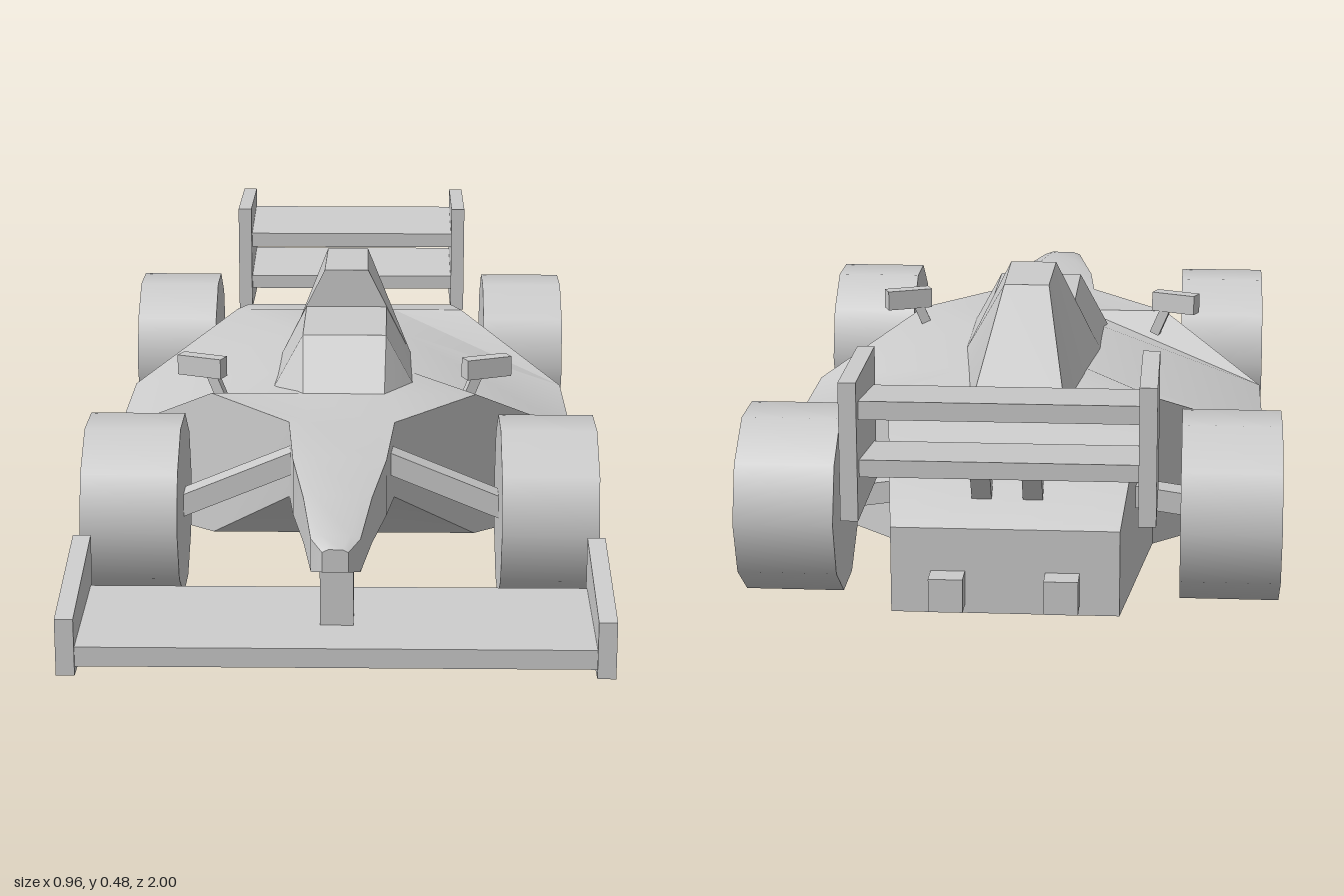
import * as THREE from 'three';
import { toCreasedNormals } from 'three/addons/utils/BufferGeometryUtils.js';

const material = new THREE.MeshStandardMaterial({ color: 0xcccccc });

function add(parent, name, geometry, x = 0, y = 0, z = 0) {
  const mesh = new THREE.Mesh(geometry, material);
  mesh.name = name;
  mesh.position.set(x, y, z);
  parent.add(mesh);
  return mesh;
}

// Skin over mirrored cross-sections, listed front to back.
// Each section is [z, [x, y], ...] from the top down on the +x side.
function loft(sections, crease) {
  const pos = [], index = [];
  const n = (sections[0].length - 1) * 2;
  for (const [z, ...half] of sections) {
    for (const [x, y] of half) pos.push(x, y, z);
    for (const [x, y] of [...half].reverse()) pos.push(-x, y, z);
  }
  for (let i = 0; i < sections.length - 1; i++) {
    for (let j = 0; j < n; j++) {
      const a = i * n + j, b = i * n + (j + 1) % n;
      index.push(a, b, a + n, b, b + n, a + n);
    }
  }
  const last = (sections.length - 1) * n;
  for (let j = 1; j < n - 1; j++) {
    index.push(0, j + 1, j, last, last + j, last + j + 1);
  }
  const g = new THREE.BufferGeometry();
  g.setAttribute('position', new THREE.Float32BufferAttribute(pos, 3));
  g.setIndex(index);
  return toCreasedNormals(g, crease);
}

// Side profile of [z, y] points, extruded across x.
function plate(profile, width) {
  const shape = new THREE.Shape(profile.map(([z, y]) => new THREE.Vector2(z, y)));
  return new THREE.ExtrudeGeometry(shape, { depth: width, bevelEnabled: false })
    .translate(0, 0, -width / 2)
    .rotateY(-Math.PI / 2);
}

// Rectangular bar between two points.
function beam(parent, name, from, to, w, h) {
  const a = new THREE.Vector3(...from), b = new THREE.Vector3(...to);
  const bar = add(parent, name, new THREE.BoxGeometry(w, h, a.distanceTo(b)));
  bar.position.copy(a).add(b).multiplyScalar(0.5);
  bar.lookAt(b);
}

export function createModel() {
  const car = new THREE.Group();
  car.name = 'openWheelRaceCar';

  // Nose, side pods and tail in one skin
  add(car, 'body', loft([
    [1.0, [0.012, 0.255], [0.022, 0.25], [0.022, 0.215]],
    [0.965, [0.025, 0.268], [0.042, 0.262], [0.042, 0.203]],
    [0.8, [0.04, 0.283], [0.06, 0.28], [0.06, 0.196]],
    [0.62, [0.05, 0.296], [0.085, 0.292], [0.085, 0.186]],
    [0.42, [0.06, 0.303], [0.1, 0.303], [0.1, 0.155]],
    [0.225, [0.085, 0.303], [0.26, 0.303], [0.26, 0.015]],
    [0.07, [0.14, 0.303], [0.46, 0.185], [0.46, 0.015]],
    [-0.26, [0.115, 0.303], [0.46, 0.185], [0.46, 0.015]],
    [-0.46, [0.1, 0.303], [0.25, 0.303], [0.25, 0.015]],
    [-0.6, [0.1, 0.28], [0.232, 0.28], [0.232, 0.015]],
    [-0.75, [0.1, 0.235], [0.213, 0.235], [0.213, 0.015]],
    [-0.85, [0.1, 0.17], [0.2, 0.17], [0.2, 0.015]],
  ], 0.62));

  // Cockpit canopy, air intake and engine cover
  add(car, 'cockpitAndEngineCover', loft([
    [0.225, [0.08, 0.303], [0.085, 0.295]],
    [0.14, [0.083, 0.4], [0.14, 0.295]],
    [-0.095, [0.083, 0.4], [0.137, 0.295]],
    [-0.095, [0.045, 0.478], [0.137, 0.295]],
    [-0.3, [0.043, 0.478], [0.115, 0.295]],
    [-0.555, [0.09, 0.29], [0.092, 0.28]],
  ], 0.45));

  // Front wing
  const frontWing = new THREE.Group();
  frontWing.name = 'frontWing';
  car.add(frontWing);
  add(frontWing, 'frontWingBlade', plate([[0.98, 0.035], [0.98, 0.07], [0.735, 0.09], [0.735, 0.05]], 0.9));
  add(frontWing, 'noseStrut', new THREE.BoxGeometry(0.058, 0.14, 0.06), 0, 0.145, 0.86);

  // Rear wing
  const rearWing = new THREE.Group();
  rearWing.name = 'rearWing';
  car.add(rearWing);
  add(rearWing, 'upperFlap', plate([[-0.78, 0.375], [-0.78, 0.407], [-0.975, 0.432], [-0.975, 0.4]], 0.48));
  add(rearWing, 'lowerFlap', plate([[-0.78, 0.275], [-0.78, 0.305], [-0.975, 0.33], [-0.975, 0.3]], 0.48));

  const tread = new THREE.CylinderGeometry(0.17, 0.17, 0.177, 10).rotateZ(Math.PI / 2);

  // Parts repeated on both sides
  for (const s of [1, -1]) {
    const side = s > 0 ? 'left' : 'right';

    add(car, side + 'FrontWheel', tread, s * 0.383, 0.163, 0.49);
    add(car, side + 'RearWheel', tread, s * 0.392, 0.163, -0.662);
    beam(car, side + 'FrontArm', [s * 0.07, 0.258, 0.485], [s * 0.32, 0.155, 0.485], 0.05, 0.04);
    beam(car, side + 'RearArm', [s * 0.18, 0.185, -0.655], [s * 0.33, 0.163, -0.655], 0.05, 0.04);

    add(frontWing, side + 'FrontEndplate',
      plate([[0.985, 0.02], [0.985, 0.122], [0.715, 0.178], [0.715, 0.02]], 0.032), s * 0.46);
    add(rearWing, side + 'RearEndplate', new THREE.BoxGeometry(0.03, 0.24, 0.243), s * 0.249, 0.35, -0.878);
    beam(rearWing, side + 'RearWingStrut', [s * 0.045, 0.18, -0.76], [s * 0.045, 0.295, -0.83], 0.035, 0.03);

    // Mirror angled on a short stem
    const mirror = add(car, side + 'Mirror', new THREE.BoxGeometry(0.095, 0.04, 0.03), s * 0.283, 0.34, 0.153);
    mirror.rotation.y = s * 0.4;
    beam(car, side + 'MirrorStem', [s * 0.24, 0.27, 0.165], [s * 0.265, 0.33, 0.16], 0.02, 0.02);

    add(car, side + 'TailLight', new THREE.BoxGeometry(0.06, 0.06, 0.055), s * 0.1, 0.062, -0.868);
  }
  return car;
}
